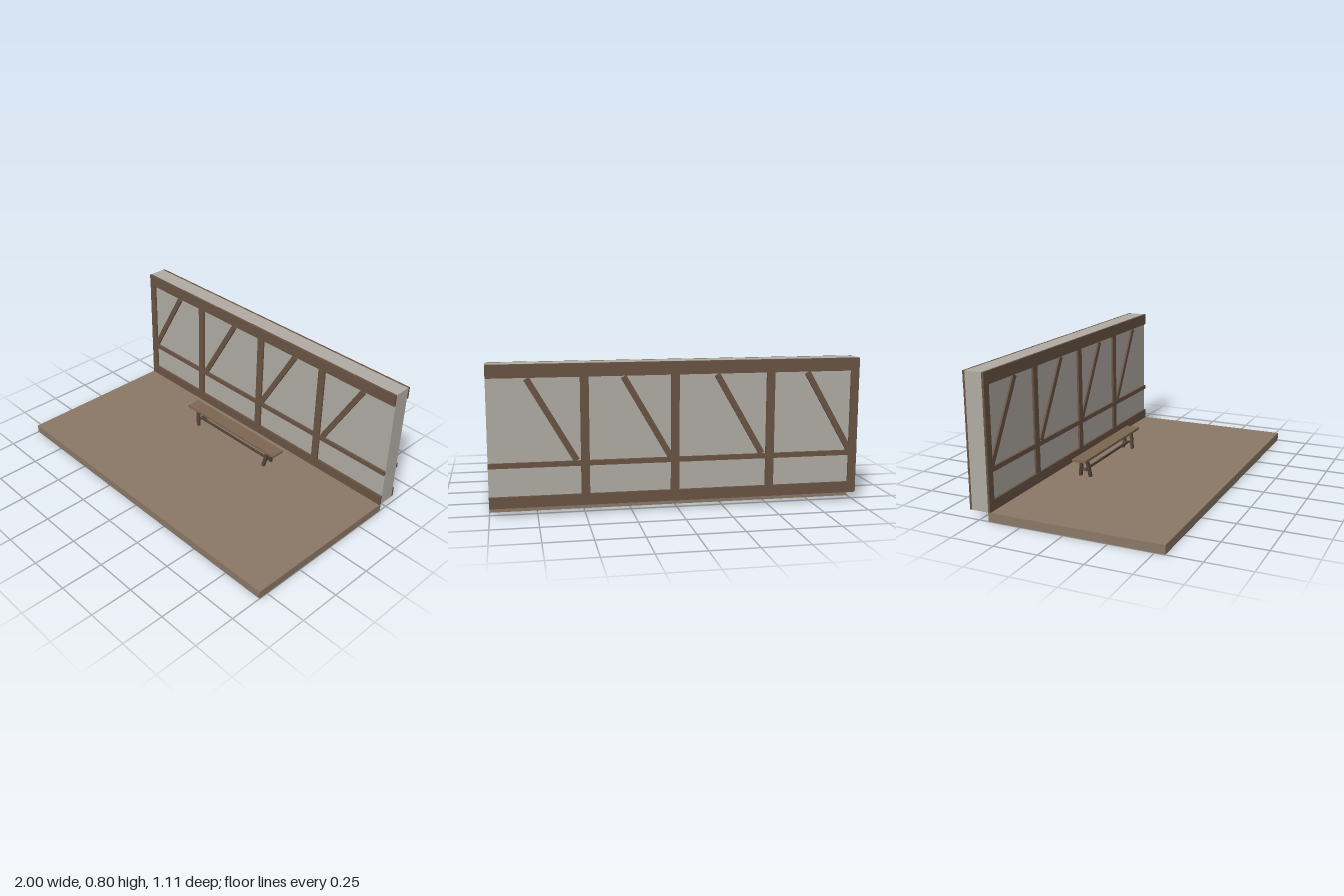
import * as THREE from 'three';

const material = (color) => new THREE.MeshStandardMaterial({ color });
const timber = material(0x6a5444);
const plaster = material(0xb0aca4);
const earth = material(0x8a7866);
const plank = material(0x7d6653);
const darkWood = material(0x51443a);

// Box given by its lower and upper bounds on each axis
function block(name, mat, [x0, x1], [y0, y1], [z0, z1]) {
  const mesh = new THREE.Mesh(new THREE.BoxGeometry(x1 - x0, y1 - y0, z1 - z0), mat);
  mesh.position.set((x0 + x1) / 2, (y0 + y1) / 2, (z0 + z1) / 2);
  mesh.name = name;
  return mesh;
}

// Half-timbered frame lying on one face of the wall
function timberFrame(name, inner, outer) {
  const frame = new THREE.Group();
  frame.name = name;
  const s = Math.sign(outer - inner);
  const span = (inset) => [inner, outer - s * inset].sort((a, b) => a - b);

  frame.add(block('topBeam', timber, [-1, 1], [0.73, 0.8], span(0)));
  frame.add(block('sillBeam', timber, [-1, 1], [0.05, 0.11], span(0)));
  frame.add(block('middleRail', timber, [-1, 1], [0.262, 0.289], span(0)));

  // Posts stand at the left of each bay; the far end stays open
  for (const x of [-1, -0.525, -0.003, 0.475]) {
    frame.add(block('post', timber, [x, x + 0.045], [0.11, 0.73], span(0.001)));
  }

  // Diagonal braces
  for (let i = 0; i < 4; i++) {
    const x = -0.832 + i * 0.5;
    const brace = block('brace', timber, [x - 0.016, x + 0.016], [0.258, 0.758], span(0.002));
    brace.rotation.z = -Math.PI / 6;
    frame.add(brace);
  }
  return frame;
}

// Leg slanted between a foot and a top, with level ends
function benchLeg(foot, top) {
  const h = 0.157 - 0.05;
  const geo = new THREE.BoxGeometry(0.02, h, 0.016);
  const p = geo.attributes.position;
  for (let i = 0; i < p.count; i++) {
    const [cx, cz] = p.getY(i) > 0 ? top : foot;
    p.setXYZ(i, p.getX(i) + cx, p.getY(i) + 0.05 + h / 2, p.getZ(i) + cz);
  }
  geo.computeVertexNormals();
  const leg = new THREE.Mesh(geo, darkWood);
  leg.name = 'benchLeg';
  return leg;
}

export function createModel() {
  const model = new THREE.Group();
  model.name = 'wallWithBench';

  // Ground slab
  model.add(block('ground', earth, [-1, 1], [0, 0.05], [-0.443, 0.556]));

  // Wall with timbering on both faces
  const wall = new THREE.Group();
  wall.name = 'wall';
  wall.add(block('plasterCore', plaster, [-1, 1], [0.05, 0.8], [-0.543, -0.443]));
  wall.add(timberFrame('frontTimbers', -0.443, -0.43));
  wall.add(timberFrame('backTimbers', -0.543, -0.556));
  model.add(wall);

  // Bench
  const bench = new THREE.Group();
  bench.name = 'bench';
  const zc = -0.242;
  bench.add(block('seat', plank, [-0.374, 0.374], [0.156, 0.171], [zc - 0.043, zc + 0.043]));
  bench.add(block('stretcher', darkWood, [-0.295, 0.295], [0.084, 0.096], [zc - 0.006, zc + 0.006]));
  for (const sx of [-1, 1]) {
    for (const sz of [-1, 1]) {
      bench.add(benchLeg([sx * 0.29, zc + sz * 0.032], [sx * 0.306, zc + sz * 0.017]));
    }
    // Crosspiece joining each leg pair to the stretcher
    bench.add(block('crosspiece', darkWood, [sx * 0.295 - 0.006, sx * 0.295 + 0.006],
      [0.084, 0.096], [zc - 0.026, zc + 0.026]));
  }
  model.add(bench);

  return model;
}
